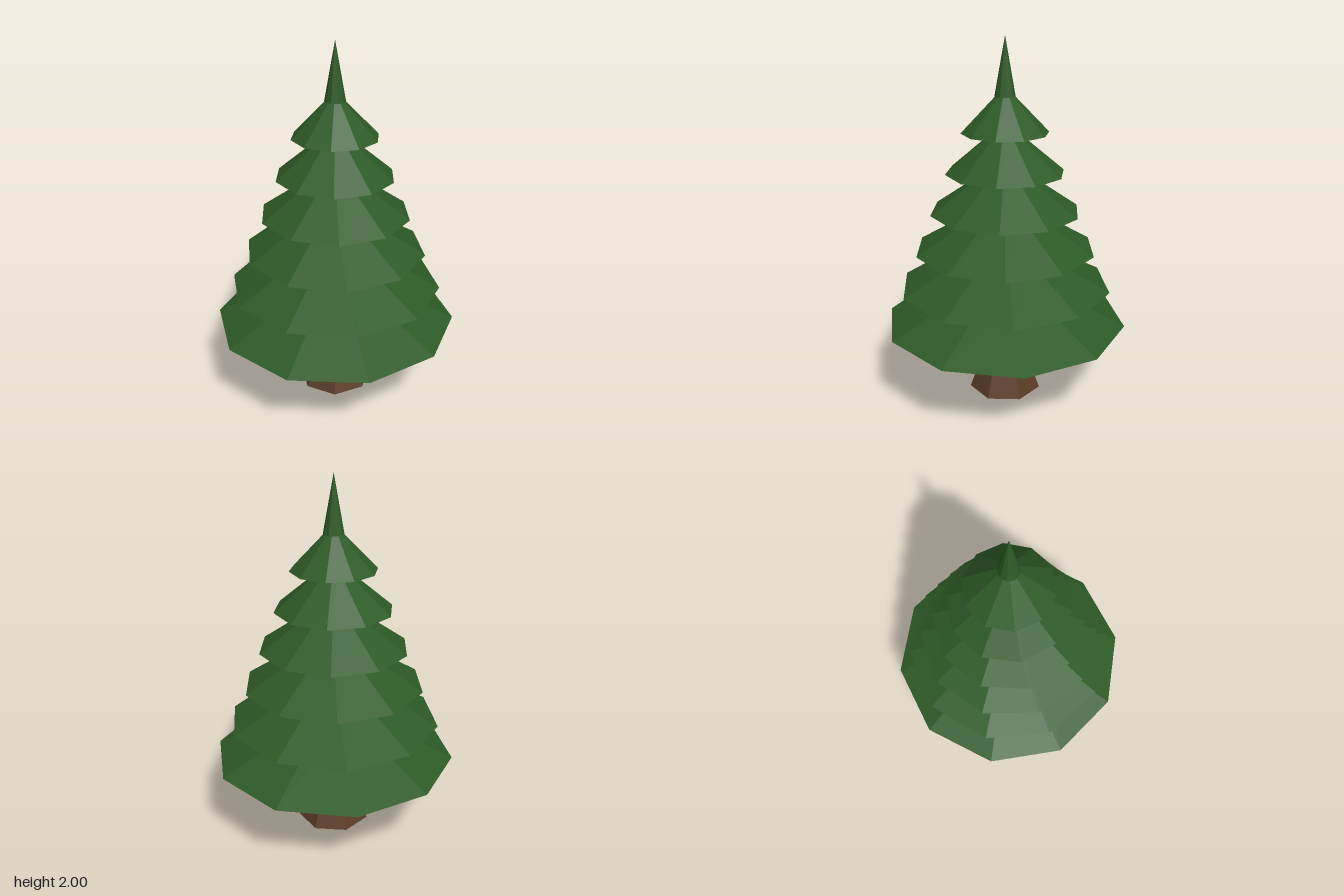
import * as THREE from 'three';

const flat = (name, color) => {
  const m = new THREE.MeshStandardMaterial({ color, flatShading: true });
  m.name = name;
  return m;
};

export function createModel() {
  const tree = new THREE.Group();
  tree.name = 'pineTree';
  const needles = flat('needleGreen', 0x2d5a27);
  const bark = flat('barkBrown', 0x5a3d28);

  const add = (name, geometry, material, y = 0) => {
    const mesh = new THREE.Mesh(geometry, material);
    mesh.name = name;
    mesh.position.y = y;
    tree.add(mesh);
  };

  // Seven-sided trunk with a flared, closed foot
  const profile = [[0, 0], [0.205, 0], [0.15, 0.15], [0.13, 0.43], [0, 0.43]]
    .map(([r, y]) => new THREE.Vector2(r, y));
  add('trunk', new THREE.LatheGeometry(profile, 7, Math.PI / 2), bark);

  // Six ten-sided skirts of branches, each smaller and twisted a little further
  const step = 0.215;
  const topRadii = [0.22, 0.18, 0.145, 0.105, 0.07, 0.053];
  topRadii.forEach((top, i) => {
    const height = i === 5 ? 0.19 : step;
    const twist = Math.PI / 2 - 0.07 * i;
    const skirt = new THREE.CylinderGeometry(top, 0.675 - 0.088 * i, height, 10, 1, false, twist);
    add(`branchTier${i + 1}`, skirt, needles, 0.425 + step * i + height / 2);
  });

  // Slender spire at the top
  add('spire', new THREE.ConeGeometry(0.056, 0.31, 10, 1, false, Math.PI / 2), needles, 1.845);

  return tree;
}
